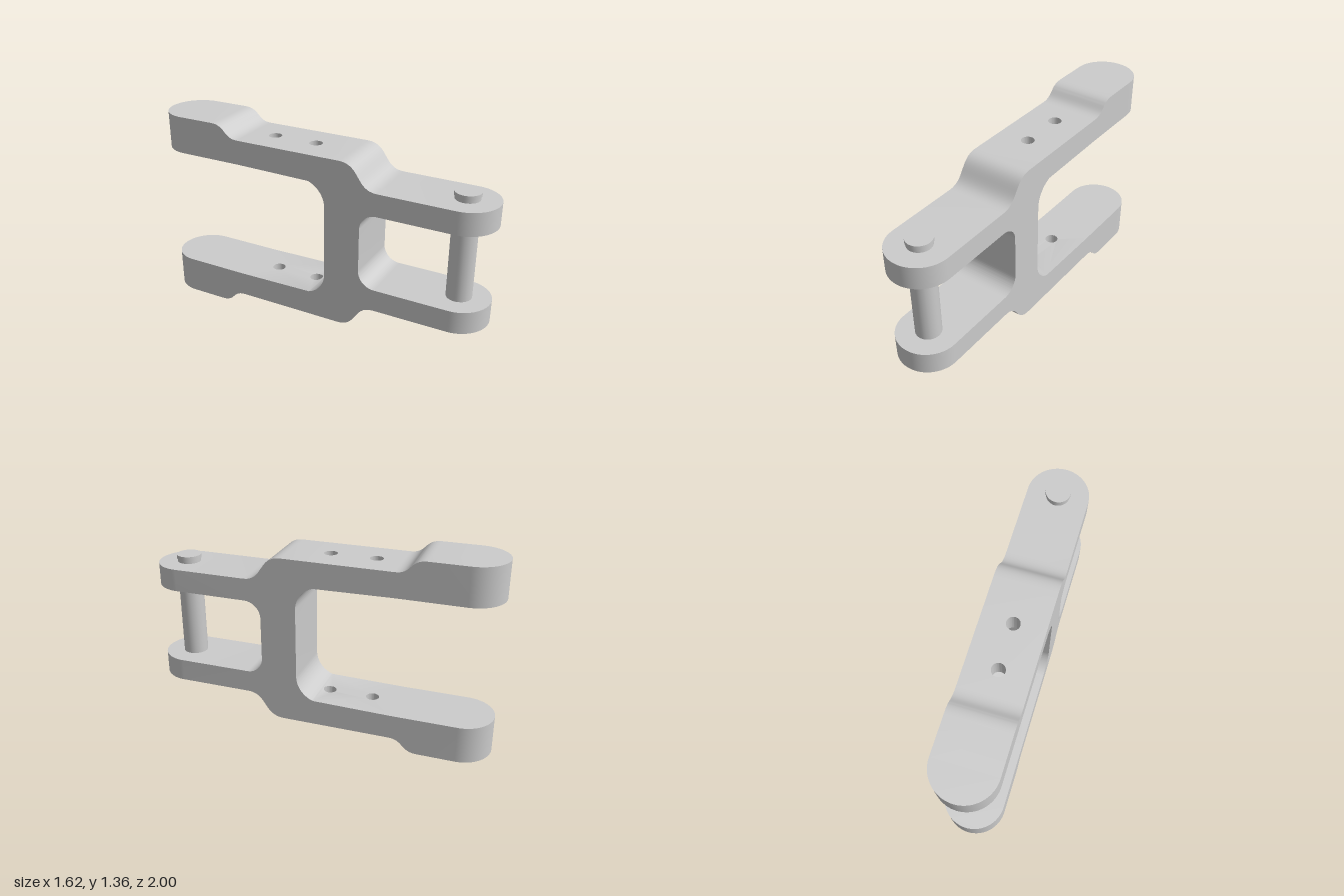
import * as THREE from 'three';
import { mergeGeometries, toCreasedNormals } from 'three/addons/utils/BufferGeometryUtils.js';

// Link runs along local x, with rounded ends centred at x = +-END
const END = 0.992, R = 0.21, HEIGHT = 1.36, MID = 0.68;
const FILLET = { x: -0.055, y: 0.925, r: 0.175 };

// Side profile (x, y) extruded across the width of the link
function acrossWidth(shape) {
  return new THREE.ExtrudeGeometry(shape, { depth: 2 * R, bevelEnabled: false, curveSegments: 16 })
    .translate(0, 0, -R);
}

// Plan shape extruded upwards from y0 to y1
function upwards(shape, y0, y1) {
  return new THREE.ExtrudeGeometry(shape, { depth: y1 - y0, bevelEnabled: false, curveSegments: 24 })
    .rotateX(-Math.PI / 2).translate(0, y0, 0);
}

// Half disc closing an arm; side is +1 or -1
function roundEnd(side, y0, y1) {
  const s = new THREE.Shape();
  s.absarc(side * END, 0, R, -Math.PI / 2, Math.PI / 2, side < 0);
  s.closePath();
  return upwards(s, y0, y1);
}

// Drop the hidden faces where neighbouring sections meet
function dropJoints(geometry) {
  const p = geometry.attributes.position, kept = [];
  const flat = (i, get, value) => [0, 1, 2].every(k => Math.abs(p[get](i + k) - value) < 1e-4);
  for (let i = 0; i < p.count; i += 3) {
    if ([-END, -0.535, 0, END].some(x => flat(i, 'getX', x)) || flat(i, 'getY', MID)) continue;
    for (let k = 0; k < 3; k++) kept.push(p.getX(i + k), p.getY(i + k), p.getZ(i + k));
  }
  const g = new THREE.BufferGeometry();
  g.setAttribute('position', new THREE.Float32BufferAttribute(kept, 3));
  return g;
}

// Mirror about mid height, restoring the triangle winding
function mirrored(geometry) {
  const g = geometry.clone(), p = g.attributes.position;
  for (let i = 0; i < p.count; i += 3) {
    const v = [0, 2, 1].map(k => new THREE.Vector3().fromBufferAttribute(p, i + k));
    v.forEach((q, k) => p.setXYZ(i + k, q.x, HEIGHT - q.y, q.z));
  }
  return g;
}

function upperHalf() {
  // Web, shoulder and thin arm
  const core = new THREE.Shape();
  core.moveTo(0, 1.27);
  core.lineTo(0.22, 1.27);
  core.bezierCurveTo(0.375, 1.27, 0.335, 1.1, 0.485, 1.1);
  core.lineTo(END, 1.1);
  core.lineTo(END, 0.945);
  core.lineTo(0.485, 0.945);
  core.absarc(0.485, 0.83, 0.115, Math.PI / 2, Math.PI, false);
  core.lineTo(0.37, MID);
  core.lineTo(0.12, MID);
  core.absarc(FILLET.x, FILLET.y, FILLET.r, 0, Math.acos(-FILLET.x / FILLET.r), false);
  core.closePath();

  // Thick arm with its raised pad
  const pad = new THREE.Shape();
  pad.moveTo(-END, 1.1);
  pad.lineTo(-0.535, 1.1);
  pad.lineTo(-0.535, 1.27);
  pad.bezierCurveTo(-0.645, 1.27, -0.62, 1.36, -0.735, 1.36);
  pad.lineTo(-END, 1.36);
  pad.closePath();

  // Drilled section of the thick arm
  const plan = new THREE.Shape();
  plan.moveTo(-0.535, -R);
  plan.lineTo(0, -R);
  plan.lineTo(0, R);
  plan.lineTo(-0.535, R);
  plan.closePath();
  for (const x of [-0.364, -0.054]) {
    plan.holes.push(new THREE.Path().absarc(x, 0, 0.045, 0, Math.PI * 2, true));
  }
  const plate = upwards(plan, 1.1, 1.27);
  // Underside follows the start of the web fillet
  const p = plate.attributes.position;
  for (let i = 0; i < p.count; i++) {
    const dx = p.getX(i) - FILLET.x;
    if (p.getY(i) < 1.2 && dx > 0) p.setY(i, FILLET.y + Math.sqrt(FILLET.r ** 2 - dx ** 2));
  }

  return dropJoints(mergeGeometries([
    acrossWidth(core), acrossWidth(pad), plate,
    roundEnd(-1, 1.1, 1.36), roundEnd(1, 0.945, 1.1),
  ]));
}

export function createModel() {
  const model = new THREE.Group();
  model.name = 'clevisLink';
  const material = new THREE.MeshStandardMaterial({ color: 0xcccccc });

  // Forked body
  const half = upperHalf();
  const body = new THREE.Mesh(
    toCreasedNormals(mergeGeometries([half, mirrored(half)]), Math.PI / 6), material);
  body.name = 'forkedBody';

  // Cross pin with a shallow groove under each head
  const outline = [[0, 0.21], [0.085, 0.21], [0.085, 0.237], [0.08, 0.237], [0.08, 0.27], [0.085, 0.27]];
  const points = [...outline, ...outline.map(([r, y]) => [r, HEIGHT - y]).reverse()]
    .map(([r, y]) => new THREE.Vector2(r, y));
  const pin = new THREE.Mesh(
    toCreasedNormals(new THREE.LatheGeometry(points, 40), Math.PI / 6), material);
  pin.name = 'crossPin';
  pin.position.x = END;

  // Link lies diagonally in plan
  const link = new THREE.Group();
  link.name = 'link';
  link.add(body, pin);
  link.rotation.y = -Math.atan2(0.79, 0.6);
  model.add(link);
  return model;
}
